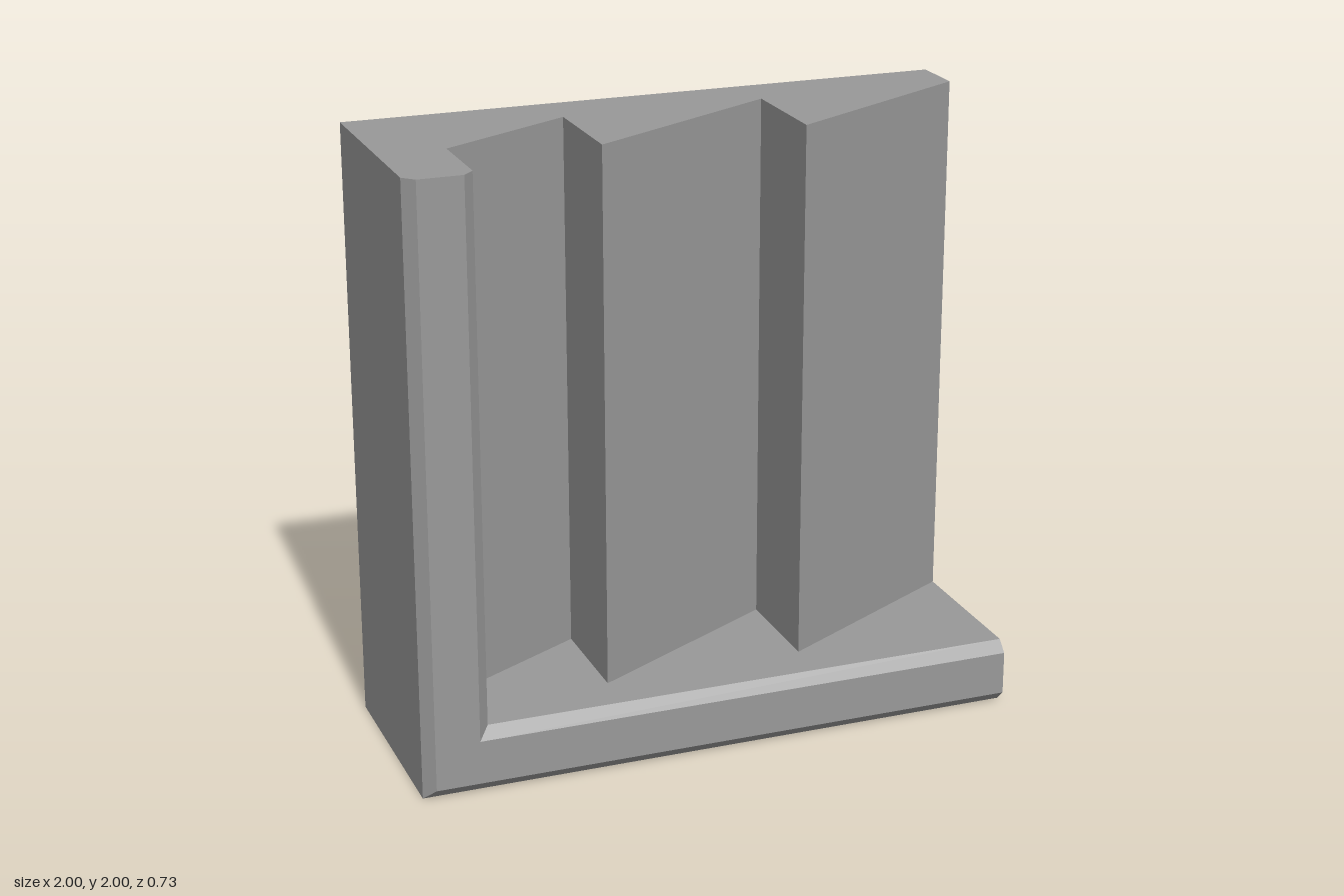
import * as THREE from 'three';

const HALF_DEPTH = 0.365; // half the thickness in z
const RIM = 0.217;        // width of the L-shaped border
const BEVEL = 0.036;
const HEIGHT = 2;

// Bevelled border swept down the side and along the bottom, mitred at the corner
function frameGeometry() {
  // cross-section: [distance from the outer edge, z]
  const section = [
    [0, -HALF_DEPTH], [0, HALF_DEPTH - BEVEL], [BEVEL, HALF_DEPTH],
    [RIM - BEVEL, HALF_DEPTH], [RIM, HALF_DEPTH - BEVEL], [RIM, -HALF_DEPTH],
  ];
  const rings = [
    section.map(([d, z]) => [-1 + d, HEIGHT, z]),
    section.map(([d, z]) => [-1 + d, d, z]),
    section.map(([d, z]) => [1, d, z]),
  ];
  const n = section.length;
  const positions = [];
  const tri = (a, b, c) => positions.push(...a, ...b, ...c);

  for (let r = 0; r < 2; r++) {
    for (let i = 0; i < n; i++) {
      const j = (i + 1) % n;
      const [a, b, c, d] = [rings[r][i], rings[r][j], rings[r + 1][j], rings[r + 1][i]];
      tri(a, d, c);
      tri(a, c, b);
    }
  }
  // end caps
  for (let i = 1; i < n - 1; i++) {
    tri(rings[0][0], rings[0][i], rings[0][i + 1]);
    tri(rings[2][0], rings[2][i + 1], rings[2][i]);
  }
  const geometry = new THREE.BufferGeometry();
  geometry.setAttribute('position', new THREE.Float32BufferAttribute(positions, 3));
  geometry.computeVertexNormals();
  return geometry;
}

// Sawtooth panel: plan outline in x and z, extruded upward
function panelGeometry() {
  const outline = [
    [-1 + RIM, -HALF_DEPTH], [-1 + RIM, 0.06],
    [-0.334, -0.183], [-0.334, 0.182],
    [0.333, -0.183], [0.333, 0.182],
    [1, -0.183], [1, -HALF_DEPTH],
  ];
  const shape = new THREE.Shape(outline.map(([x, z]) => new THREE.Vector2(x, -z)));
  const geometry = new THREE.ExtrudeGeometry(shape, { depth: HEIGHT - RIM, bevelEnabled: false });
  geometry.rotateX(-Math.PI / 2);
  geometry.translate(0, RIM, 0);
  return geometry;
}

export function createModel() {
  const grey = new THREE.MeshStandardMaterial({ color: 0x999999 });
  grey.name = 'grey';

  const model = new THREE.Group();
  model.name = 'sawtoothPanelBlock';
  const add = (name, geometry) => {
    const mesh = new THREE.Mesh(geometry, grey);
    mesh.name = name;
    model.add(mesh);
  };
  add('bevelledFrame', frameGeometry());
  add('sawtoothPanel', panelGeometry());
  return model;
}
